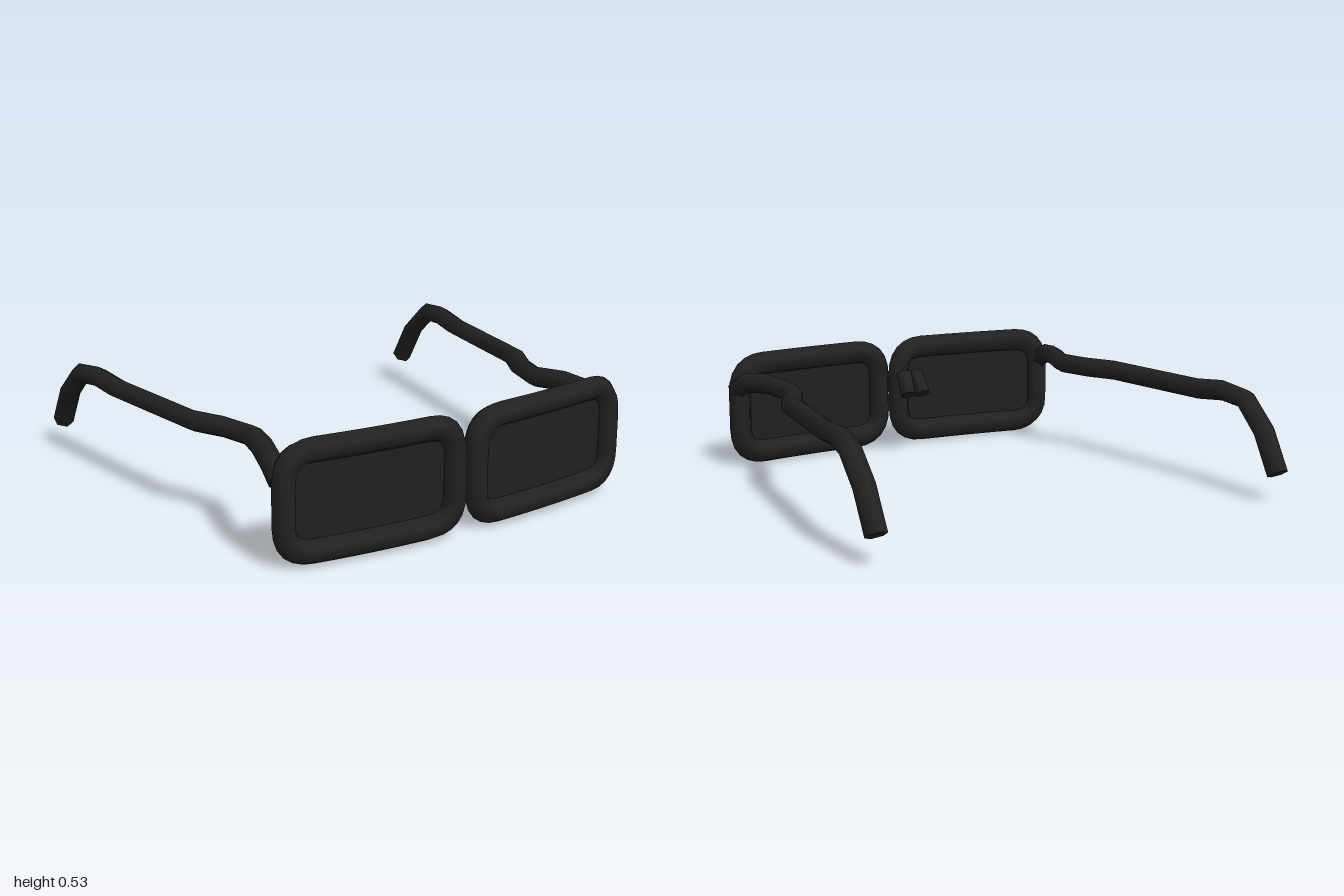
import * as THREE from 'three';

const V = (x, y, z) => new THREE.Vector3(x, y, z);

// Sweeps a six-sided section along points; ref fixes the roll of the section.
function sweep(points, ref, radius, phase, closed) {
  const n = points.length, sides = 6, pos = [], idx = [];
  const rings = points.map((p, i) => {
    const prev = closed ? points[(i + n - 1) % n] : points[Math.max(i - 1, 0)];
    const next = closed ? points[(i + 1) % n] : points[Math.min(i + 1, n - 1)];
    // average the two segment directions for an even mitre
    const t = p.clone().sub(prev).normalize().add(next.clone().sub(p).normalize()).normalize();
    const a = ref.clone().addScaledVector(t, -ref.dot(t)).normalize();
    const b = t.clone().cross(a);
    return Array.from({ length: sides }, (_, j) => {
      const ang = phase + (j / sides) * Math.PI * 2;
      return p.clone().addScaledVector(a, Math.cos(ang) * radius).addScaledVector(b, Math.sin(ang) * radius);
    });
  });
  rings.forEach(r => r.forEach(v => pos.push(v.x, v.y, v.z)));
  for (let i = 0; i < (closed ? n : n - 1); i++) {
    for (let j = 0; j < sides; j++) {
      const k = (j + 1) % sides, m = (i + 1) % n;
      const a = i * sides + j, b = i * sides + k, c = m * sides + j, d = m * sides + k;
      idx.push(a, b, c, b, d, c);
    }
  }
  // flat end caps
  if (!closed) {
    [0, n - 1].forEach(e => {
      const base = pos.length / 3;
      rings[e].forEach(v => pos.push(v.x, v.y, v.z));
      for (let j = 1; j < sides - 1; j++) {
        if (e) idx.push(base, base + j, base + j + 1);
        else idx.push(base, base + j + 1, base + j);
      }
    });
  }
  const g = new THREE.BufferGeometry();
  g.setAttribute('position', new THREE.Float32BufferAttribute(pos, 3));
  g.setIndex(idx);
  g.computeVertexNormals();
  return g;
}

// Wrap-around curve of the front
const wrapZ = x => 0.905 - 0.075 * (x / 0.81) ** 2;

// Rounded rectangle centre line of one rim
function rimPath(side) {
  const cx = 0.43, cy = 0.27, w = 0.377, h = 0.21, r = 0.125, pts = [];
  const corners = [[1, 1], [-1, 1], [-1, -1], [1, -1]];
  corners.forEach(([sx, sy], c) => {
    const k = V(cx + sx * w, cy + sy * h, 0);
    const onSide = V(k.x, k.y - sy * r, 0), onTop = V(k.x - sx * r, k.y, 0);
    const even = c % 2 === 0;
    const curve = new THREE.QuadraticBezierCurve3(even ? onSide : onTop, k, even ? onTop : onSide);
    pts.push(...curve.getPoints(6));
    // extra points along the long edges so they follow the wrap
    if (even) for (let i = 1; i < 6; i++) pts.push(V(k.x - sx * (r + (2 * w - 2 * r) * i / 6), k.y, 0));
  });
  return pts.map(p => V(p.x * side, p.y, wrapZ(p.x)));
}

export function createModel() {
  const model = new THREE.Group();
  const frameMat = new THREE.MeshStandardMaterial({ color: 0x222222 });
  frameMat.name = 'frame black';
  const lensMat = new THREE.MeshStandardMaterial({ color: 0x202020, side: THREE.DoubleSide });
  lensMat.name = 'lens black';
  const add = (name, geo, mat) => {
    const m = new THREE.Mesh(geo, mat);
    m.name = name;
    model.add(m);
  };

  // Temple arm centre line, from hinge to ear tip
  const arm = [
    [0.82, 0.37, 0.83], [0.808, 0.415, 0.75], [0.765, 0.432, 0.6], [0.722, 0.42, 0.45],
    [0.765, 0.42, 0.29], [0.832, 0.42, 0.16], [0.875, 0.42, -0.15], [0.91, 0.42, -0.4],
    [0.93, 0.436, -0.55], [0.95, 0.418, -0.69], [0.953, 0.3, -0.82], [0.953, 0.132, -0.92],
  ];

  for (const [side, word] of [[1, 'left'], [-1, 'right']]) {
    // Rim
    add(word + 'Rim', sweep(rimPath(side), V(0, 0, 1), 0.053, Math.PI / 2, true), frameMat);

    // Lens, bent to the wrap
    const lens = new THREE.PlaneGeometry(0.71, 0.38, 10, 1).translate(side * 0.43, 0.27, 0);
    const p = lens.attributes.position;
    for (let i = 0; i < p.count; i++) p.setZ(i, wrapZ(p.getX(i)));
    lens.computeVertexNormals();
    add(word + 'Lens', lens, lensMat);

    // Temple arm
    add(word + 'Temple', sweep(arm.map(([x, y, z]) => V(side * x, y, z)), V(0, 1, 0), 0.046, 0, false), frameMat);

    // Nose stub
    const stub = [V(side * 0.03, 0.4, 0.675), V(side * 0.038, 0.305, 0.612)];
    add(word + 'NoseStub', sweep(stub, V(1, 0, 0), 0.04, 0, false), frameMat);
  }
  return model;
}
